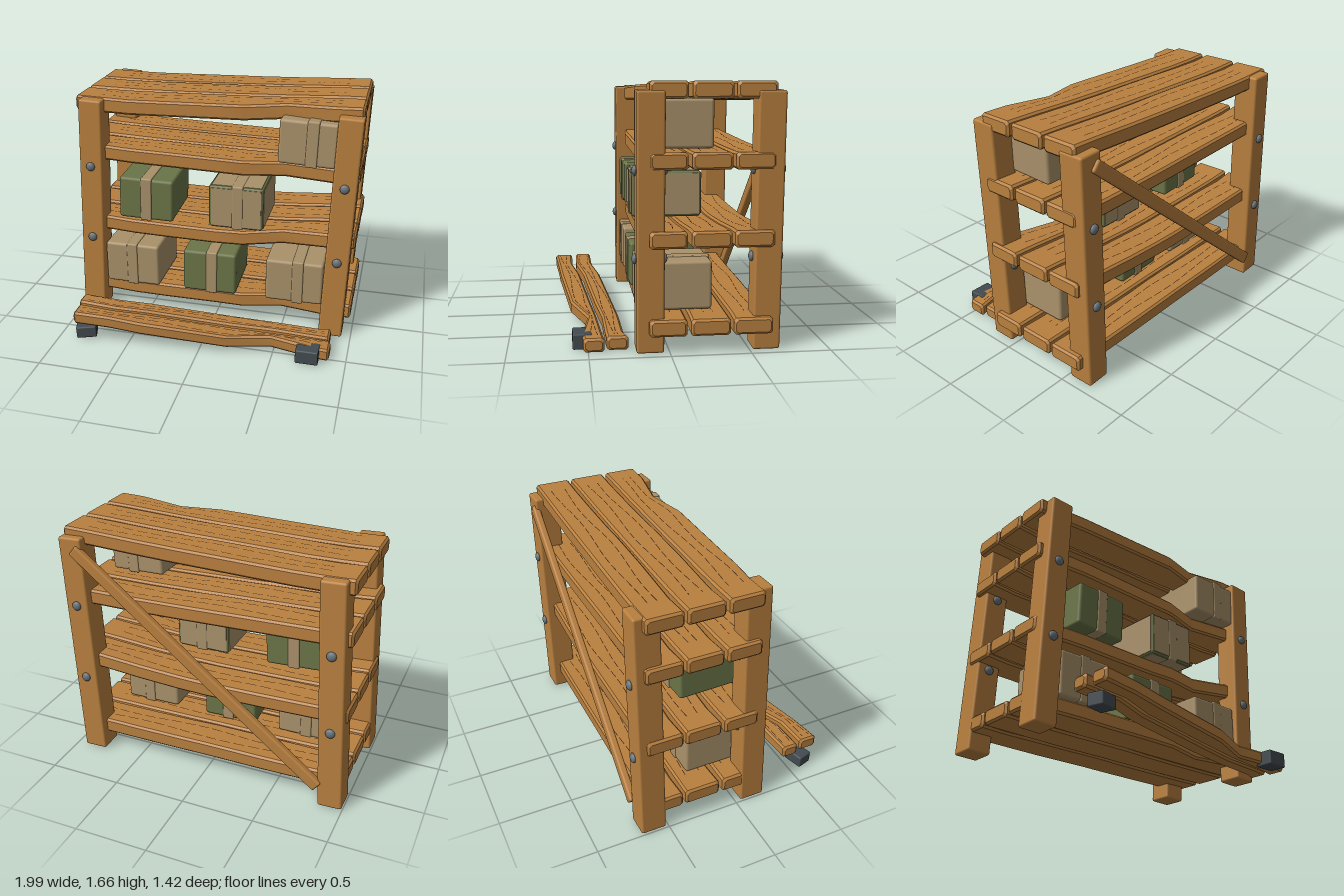
import * as THREE from 'three';
import { toCreasedNormals } from 'three/addons/utils/BufferGeometryUtils.js';
import { RoundedBoxGeometry } from 'three/addons/geometries/RoundedBoxGeometry.js';

const material = (name, color) => {
  const m = new THREE.MeshStandardMaterial({ color });
  m.name = name;
  return m;
};

// Linear interpolation of column k in rows sorted by x (column 0)
function sample(rows, x, k) {
  let i = 0;
  while (i < rows.length - 2 && x > rows[i + 1][0]) i++;
  const a = rows[i], b = rows[i + 1];
  return THREE.MathUtils.lerp(a[k], b[k], (x - a[0]) / (b[0] - a[0]));
}

// Chamfered plank lofted along x; rows are [x, zBack, zFront, yTop]
function plankGeometry(rows, thick, c = 0.014) {
  const last = rows.length - 1;
  const sections = rows.map(([x, z0, z1, y], i) =>
    [x + (i === 0 ? c : i === last ? -c : 0), z0, z1, y - thick, y]);
  const cap = ([x, z0, z1, y]) => [x, z0 + c, z1 - c, y - thick + c, y - c];
  sections.unshift(cap(rows[0]));
  sections.push(cap(rows[last]));
  const pos = [], idx = [], n = 8;
  for (const [x, z0, z1, y0, y1] of sections) {
    const ring = [[y1, z0 + c], [y1, z1 - c], [y1 - c, z1], [y0 + c, z1],
      [y0, z1 - c], [y0, z0 + c], [y0 + c, z0], [y1 - c, z0]];
    for (const [y, z] of ring) pos.push(x, y, z);
  }
  const top = (sections.length - 1) * n;
  for (let s = 0; s < top; s += n) {
    for (let j = 0; j < n; j++) {
      const k = (j + 1) % n;
      idx.push(s + j, s + k, s + n + k, s + j, s + n + k, s + n + j);
    }
  }
  for (let j = 1; j < n - 1; j++) idx.push(0, j + 1, j, top, top + j, top + j + 1);
  const g = new THREE.BufferGeometry();
  g.setAttribute('position', new THREE.Float32BufferAttribute(pos, 3));
  g.setIndex(idx);
  return toCreasedNormals(g, 0.5);
}

// Broken wavy grain lines lying on top of a plank
function grainGeometry(rows, seed) {
  const pos = [], idx = [], steps = 64, half = 0.003;
  [0.33, 0.66].forEach((f, line) => {
    const point = (i) => {
      const x = -0.83 + 1.66 * i / steps;
      const z = THREE.MathUtils.lerp(sample(rows, x, 1), sample(rows, x, 2), f)
        + 0.013 * Math.sin(x * 6 + seed * 1.7 + line * 2);
      return [x, sample(rows, x, 3) + 0.002, z];
    };
    for (let i = 0; i < steps; i++) {
      if ((i + seed) % 4 === 0) continue;
      const [xa, ya, za] = point(i), [xb, yb, zb] = point(i + 1), b = pos.length / 3;
      pos.push(xa, ya, za - half, xa, ya, za + half, xb, yb, zb + half, xb, yb, zb - half);
      idx.push(b, b + 1, b + 2, b, b + 2, b + 3);
    }
  });
  const g = new THREE.BufferGeometry();
  g.setAttribute('position', new THREE.Float32BufferAttribute(pos, 3));
  g.setIndex(idx);
  g.computeVertexNormals();
  return g;
}

export function createModel() {
  const wood = material('wood', 0xb9803f);
  const grainBrown = material('grain brown', 0x4a2f17);
  const tan = material('cardboard tan', 0xaa926b);
  const olive = material('olive green', 0x6b7548);
  const steel = material('bolt grey', 0x68747b);
  const iron = material('dark iron', 0x444c51);
  const root = new THREE.Group();
  root.name = 'storageShelf';

  const add = (parent, name, geo, mat, p = [0, 0, 0], r = [0, 0, 0]) => {
    const m = new THREE.Mesh(geo, mat);
    m.name = name;
    m.position.set(...p);
    m.rotation.set(...r);
    parent.add(m);
    return m;
  };
  const rounded = (w, h, d, r = 0.015) => new RoundedBoxGeometry(w, h, d, 2, r);

  // Leaning corner posts with bolts on the front and back faces
  const lean = -0.035, postGeo = rounded(0.165, 1.605, 0.172);
  const boltGeo = new THREE.SphereGeometry(0.032, 16, 10);
  boltGeo.scale(1, 1, 0.6);
  for (const [side, x] of [['right', -0.885], ['left', 0.882]]) {
    for (const [end, z] of [['Front', 0.121], ['Back', -0.605]]) {
      const post = new THREE.Group();
      post.name = side + end + 'Post';
      post.position.set(x, 0.805, z);
      post.rotation.z = lean;
      root.add(post);
      add(post, 'postBeam', postGeo, wood);
      for (const y of [0.325, -0.22])
        for (const s of [-1, 1]) add(post, 'bolt', boltGeo, steel, [0, y, s * 0.091]);
    }
  }

  // Shelves of three warped planks; the front plank has a worn notch
  const xs = [-0.985, -0.8, -0.6, -0.38, 0, 0.2, 0.48, 0.8, 0.985];
  const shelves = {
    topShelf: [1.615, 1.61, 1.61, 1.615, 1.625, 1.63, 1.64, 1.655, 1.66],
    upperShelf: [1.275, 1.265, 1.26, 1.255, 1.245, 1.24, 1.235, 1.235, 1.24],
    middleShelf: [0.735, 0.725, 0.72, 0.715, 0.71, 0.715, 0.73, 0.755, 0.765],
    bottomShelf: [0.235, 0.232, 0.228, 0.225, 0.225, 0.222, 0.22, 0.22, 0.22],
  };
  const frontEdge = [0.135, 0.135, 0.15, 0.15, 0.15, 0.15, 0.08, 0.13, 0.13];
  const wobble = [0, -0.012, 0, 0.008, 0.008, 0, -0.004, -0.008, 0];
  Object.entries(shelves).forEach(([name, ys], s) => {
    const shelf = new THREE.Group();
    shelf.name = name;
    root.add(shelf);
    [[-0.635, -0.39], [-0.372, -0.125], [-0.102, 0]].forEach(([z0, z1], p) => {
      const rows = xs.map((x, i) =>
        [x, z0, p === 2 ? frontEdge[i] : z1 + wobble[i] * 0.7, ys[i]]);
      add(shelf, 'plank', plankGeometry(rows, 0.105), wood);
      add(shelf, 'plankGrain', grainGeometry(rows, s + p * 3), grainBrown);
    });
  });

  // Diagonal brace across the back
  add(root, 'backBrace', rounded(2.2, 0.085, 0.05), wood,
    [0.03, 0.84, -0.685], [0, 0, Math.atan2(1.39, 1.72)]);

  // Parcels: rounded box with a tape band; optional panels leave coloured edges
  const parcel = (name, x, y, w, h, mat, rot = [0, 0, 0], tape = 0, panels = false) => {
    const g = new THREE.Group(), d = 0.47;
    g.name = name;
    g.position.set(x, y, -0.052);
    g.rotation.set(...rot);
    root.add(g);
    add(g, 'box', rounded(w, h, d, 0.02), mat);
    add(g, 'tape', rounded(0.08, h + 0.012, d + 0.012, 0.01), tan, [tape, 0, 0]);
    if (!panels) return;
    const i = 0.03, o = 0.006;
    add(g, 'frontPanel', new THREE.BoxGeometry(w - i, h - i, d + o), tan);
    add(g, 'sidePanel', new THREE.BoxGeometry(w + o, h - i, d - i), tan);
    add(g, 'topPanel', new THREE.BoxGeometry(w - i, h + o, d - i), tan);
  };
  parcel('lowerRightParcel', -0.607, 0.382, 0.4, 0.312, tan);
  parcel('lowerMiddleParcel', -0.032, 0.384, 0.385, 0.312, olive, [0, 0.02, -0.01], 0.015);
  parcel('lowerLeftParcel', 0.582, 0.382, 0.405, 0.312, tan, [0, 0, 0], 0.025);
  parcel('middleRightParcel', -0.492, 0.905, 0.39, 0.305, olive, [0, 0.03, -0.03], 0);
  parcel('middleLeftParcel', 0.162, 0.906, 0.38, 0.308, olive, [0, 0, 0], 0.01, true);
  parcel('upperLeftParcel', 0.645, 1.408, 0.39, 0.305, tan, [0, -0.04, -0.03], 0.03);

  // Loose sloping planks in front, resting on iron blocks
  const ramp = new THREE.Group();
  ramp.name = 'looseStep';
  root.add(ramp);
  const rampRows = [
    [[-0.89, 0.425, 0.54, 0.235], [-0.62, 0.42, 0.54, 0.22], [-0.4, 0.37, 0.49, 0.19],
      [0.19, 0.31, 0.43, 0.135], [0.48, 0.285, 0.395, 0.115], [0.78, 0.275, 0.39, 0.1], [0.87, 0.25, 0.385, 0.095]],
    [[-0.87, 0.57, 0.7, 0.235], [-0.62, 0.57, 0.68, 0.22], [-0.4, 0.52, 0.66, 0.19],
      [0.19, 0.46, 0.595, 0.135], [0.48, 0.43, 0.49, 0.115], [0.78, 0.41, 0.535, 0.1], [0.885, 0.4, 0.53, 0.09]],
  ];
  rampRows.forEach((rows, i) => {
    add(ramp, 'stepPlank', plankGeometry(rows, 0.088), wood);
    add(ramp, 'stepGrain', grainGeometry(rows, i + 2), grainBrown);
  });
  add(ramp, 'rightBlock', rounded(0.14, 0.085, 0.11, 0.01), iron, [-0.815, 0.055, 0.6], [0, 0.3, 0.05]);
  add(ramp, 'leftBlock', rounded(0.155, 0.1, 0.125, 0.01), iron, [0.742, 0.051, 0.533]);
  return root;
}
